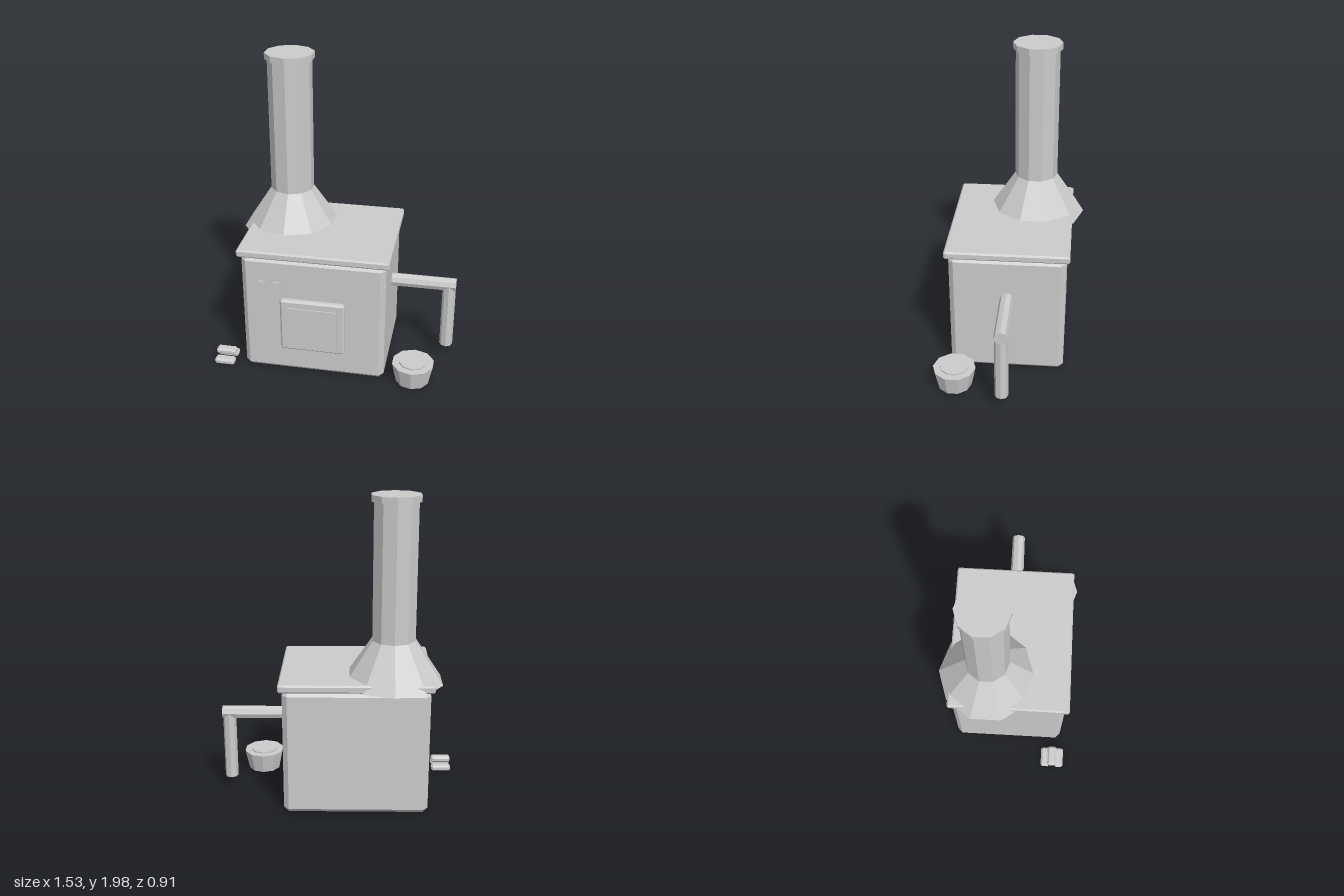
import * as THREE from 'three';
import { ConvexGeometry } from 'three/addons/geometries/ConvexGeometry.js';

const material = new THREE.MeshStandardMaterial({ color: 0xcccccc, flatShading: true });

// Box between two corners with every edge cut by one flat chamfer
function chamferBox([x0, y0, z0], [x1, y1, z1], bevel) {
  const h = [(x1 - x0) / 2, (y1 - y0) / 2, (z1 - z0) / 2];
  const points = [];
  for (const sx of [-1, 1]) for (const sy of [-1, 1]) for (const sz of [-1, 1])
    for (let face = 0; face < 3; face++) {
      const p = [sx, sy, sz].map((s, i) => s * (h[i] - (i === face ? 0 : bevel)));
      points.push(new THREE.Vector3(...p));
    }
  return new ConvexGeometry(points).translate((x0 + x1) / 2, (y0 + y1) / 2, (z0 + z1) / 2);
}

// Plain box between two corners
function box([x0, y0, z0], [x1, y1, z1]) {
  return new THREE.BoxGeometry(x1 - x0, y1 - y0, z1 - z0)
    .translate((x0 + x1) / 2, (y0 + y1) / 2, (z0 + z1) / 2);
}

// Upright faceted frustum from y0 to y1
function frustum(x, z, y0, y1, rBottom, rTop, sides = 10) {
  return new THREE.CylinderGeometry(rTop, rBottom, y1 - y0, sides).translate(x, (y0 + y1) / 2, z);
}

export function createModel() {
  const model = new THREE.Group();
  model.name = 'stove';
  const add = (name, geometry, parent = model) => {
    const mesh = new THREE.Mesh(geometry, material);
    mesh.name = name;
    parent.add(mesh);
  };
  const group = (name) => {
    const g = new THREE.Group();
    g.name = name;
    model.add(g);
    return g;
  };

  // Stove body and overhanging top plate
  add('body', chamferBox([-0.56, 0.018, -0.365], [0.35, 0.84, 0.365], 0.032));
  add('topPlate', chamferBox([-0.58, 0.84, -0.388], [0.373, 0.89, 0.388], 0.01));

  // Fire door with its raised panel, and two small controls
  const door = group('door');
  add('doorFrame', chamferBox([-0.31, 0.2, 0.33], [0.1, 0.565, 0.397], 0.012), door);
  add('doorPanel', box([-0.265, 0.245, 0.37], [0.057, 0.515, 0.405]), door);
  for (const x of [-0.45, -0.355])
    add('control', box([x, 0.633, 0.35], [x + 0.047, 0.676, 0.375]));

  // Chimney: flared hood, flue and cap
  const chimney = group('chimney');
  const [cx, cz] = [-0.335, -0.139];
  add('hood', frustum(cx, cz, 0.84, 1.11, 0.32, 0.139), chimney);
  add('flue', frustum(cx, cz, 1.11, 1.97, 0.139, 0.139), chimney);
  add('chimneyCap', frustum(cx, cz, 1.96, 2, 0.155, 0.155), chimney);

  // Side outlet pipe and its downspout
  const outlet = group('outletPipe');
  const arm = new THREE.CylinderGeometry(0.043, 0.043, 0.465, 8)
    .rotateZ(Math.PI / 2).translate(0.533, 0.56, 0);
  add('outletArm', arm, outlet);
  add('downspout', frustum(0.722, 0, 0.105, 0.56, 0.043, 0.043, 8), outlet);

  // Bucket with its filling
  const bucket = group('bucket');
  add('bucketBody', frustum(0.535, 0.317, 0.018, 0.15, 0.108, 0.136), bucket);
  add('bucketFilling', frustum(0.535, 0.317, 0.13, 0.16, 0.09, 0.09), bucket);

  // Stack of three logs
  const logs = group('logs');
  for (const [y, z] of [[0.018, 0.238], [0.018, 0.334], [0.063, 0.284]])
    add('log', chamferBox([-0.766, y, z], [-0.635, y + 0.04, z + 0.06], 0.011), logs);

  return model;
}
